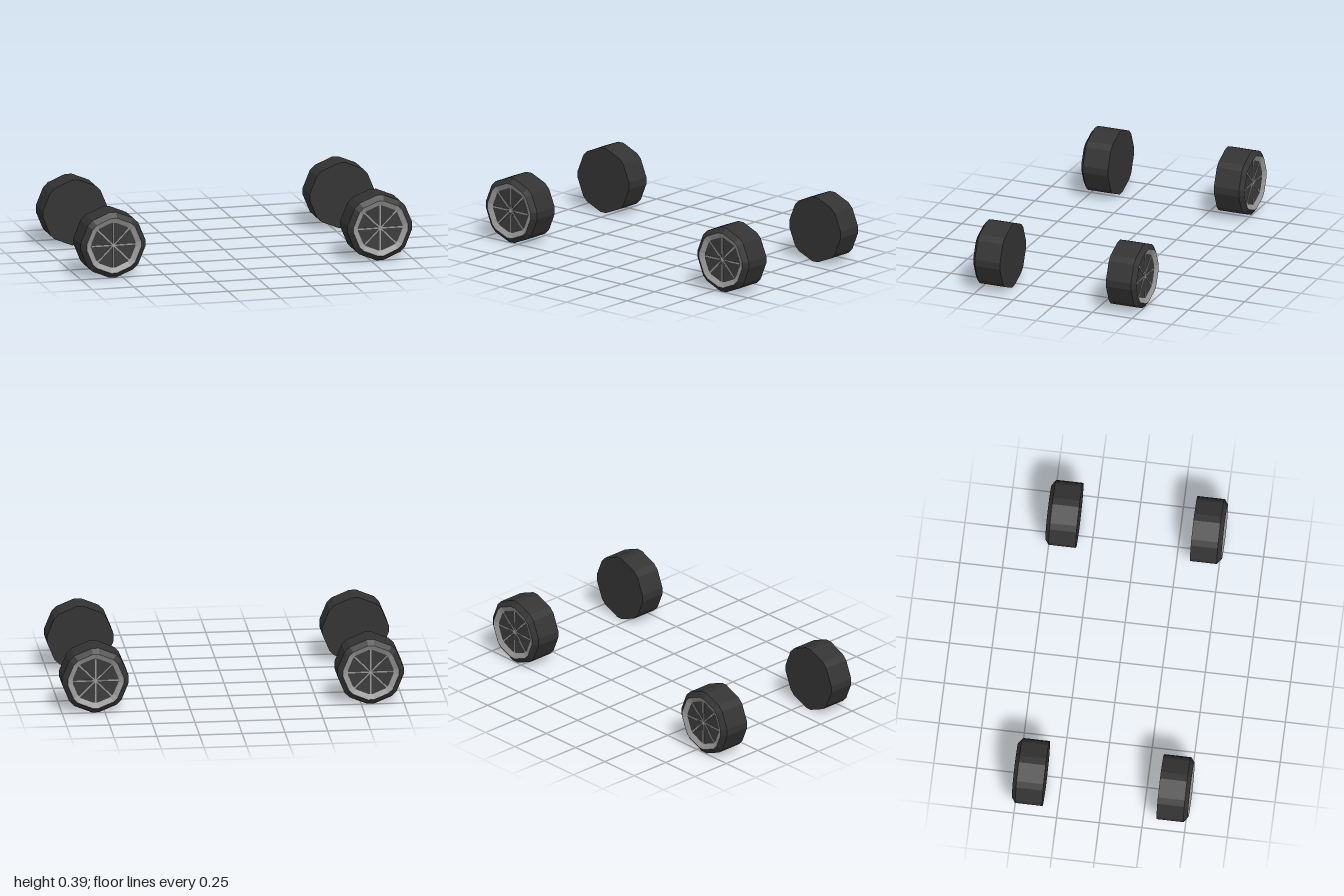
import * as THREE from 'three';

const mat = (color) => new THREE.MeshStandardMaterial({ color, flatShading: true });
const rubber = mat(0x333333), metal = mat(0x999999), hubDark = mat(0x3a3a3a);

// Turned part along z whose outline is an octagon with small cut corners
function turned(profile) {
  const geo = new THREE.LatheGeometry(profile.map(([r, z]) => new THREE.Vector2(r, z)), 16);
  const p = geo.attributes.position;
  const cut = THREE.MathUtils.degToRad(6);
  for (let i = 0; i < p.count; i++) {
    const r = Math.hypot(p.getX(i), p.getZ(i));
    const step = Math.round(Math.atan2(p.getX(i), p.getZ(i)) / (Math.PI / 8) + 16) % 16;
    const a = Math.floor(step / 2) * Math.PI / 4 + (step % 2 ? cut : -cut);
    p.setXYZ(i, r * Math.sin(a), p.getY(i), r * Math.cos(a));
  }
  geo.rotateX(Math.PI / 2);
  geo.computeVertexNormals();
  return geo;
}

function part(name, geo, material, parent) {
  const mesh = new THREE.Mesh(geo, material);
  mesh.name = name;
  parent.add(mesh);
  return mesh;
}

// Wheel facing +z; z = 0 is the closed inner face
function createWheel(name) {
  const wheel = new THREE.Group();
  wheel.name = name;
  part('tyre', turned([[0, 0], [0.196, 0], [0.196, 0.158], [0.165, 0.181]]), rubber, wheel);
  part('rim', turned([[0.165, 0.181], [0.134, 0.166]]), metal, wheel);
  part('hubDisc', turned([[0.134, 0.166], [0, 0.160]]), hubDark, wheel);

  // Eight thin spokes running to the rim corners
  for (let i = 0; i < 8; i++) {
    const geo = new THREE.BoxGeometry(0.134, 0.008, 0.012);
    geo.translate(0.067, 0, 0.162);
    geo.rotateZ(i * Math.PI / 4);
    part('spoke', geo, metal, wheel);
  }
  return wheel;
}

export function createModel() {
  const model = new THREE.Group();
  model.name = 'wheelSet';
  for (const side of [-1, 1]) {
    for (const end of [-1, 1]) {
      const wheel = createWheel((end > 0 ? 'front' : 'back') + (side > 0 ? 'Left' : 'Right') + 'Wheel');
      wheel.position.set(side * 0.805, 0.195, end * 0.335);
      if (end < 0) wheel.rotation.y = Math.PI;
      model.add(wheel);
    }
  }
  return model;
}
